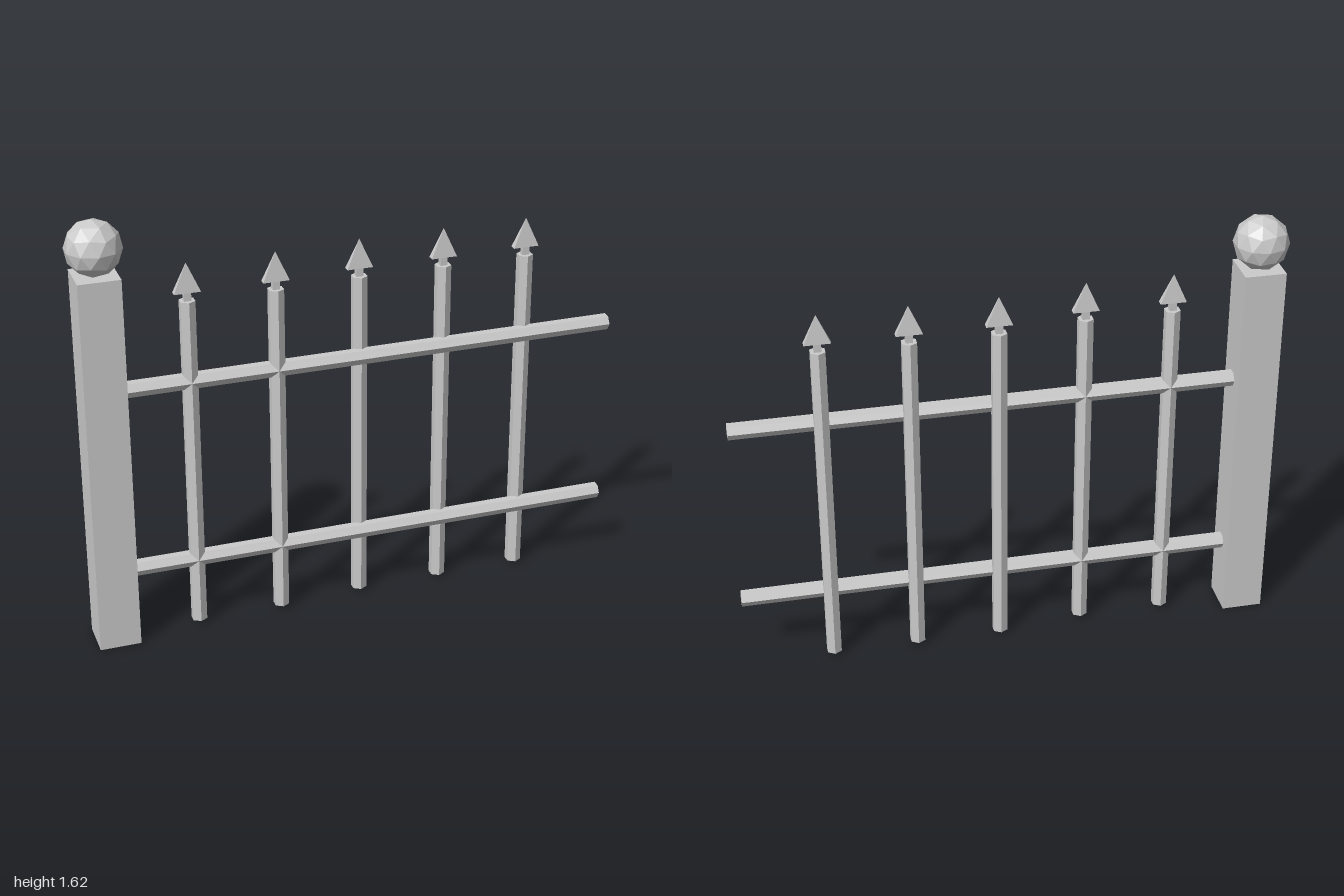
import * as THREE from 'three';

const material = new THREE.MeshStandardMaterial({ color: 0xcccccc, flatShading: true });

function addPart(parent, name, geometry, x, y, z) {
  const mesh = new THREE.Mesh(geometry, material);
  mesh.name = name;
  mesh.position.set(x, y, z);
  parent.add(mesh);
  return mesh;
}

export function createModel() {
  const fence = new THREE.Group();
  fence.name = 'fence';

  // Square post with a faceted ball on top
  const postX = -0.9, postHeight = 1.42, postWidth = 0.15;
  addPart(fence, 'post', new THREE.BoxGeometry(postWidth, postHeight, postWidth), postX, postHeight / 2, 0);
  const ball = new THREE.IcosahedronGeometry(0.1, 1);
  ball.rotateZ(-Math.atan(2 / (1 + Math.sqrt(5)))); // one corner points straight up
  addPart(fence, 'postBall', ball, postX, 1.515, 0);

  // Two hexagonal rails running out from the post
  const barRadius = 0.03, railStart = postX + postWidth / 2, railEnd = 1;
  const rail = new THREE.CylinderGeometry(barRadius, barRadius, railEnd - railStart, 6);
  rail.rotateZ(Math.PI / 2);
  addPart(fence, 'lowerRail', rail, (railStart + railEnd) / 2, 0.272, 0);
  addPart(fence, 'upperRail', rail, (railStart + railEnd) / 2, 0.981, 0);

  // Hexagonal picket, thin neck and flat four-sided spearhead
  const barHeight = 1.267, neckHeight = 0.03, headHeight = 0.108;
  const bar = new THREE.CylinderGeometry(barRadius, barRadius, barHeight, 6);
  const neck = new THREE.BoxGeometry(0.026, neckHeight + 0.01, 0.022);
  const head = new THREE.ConeGeometry(Math.SQRT1_2, headHeight, 4);
  head.rotateY(Math.PI / 4);
  head.scale(0.095, 1, 0.026);

  // The two pickets next to the post sit in line with the rails, the rest behind
  for (let i = 0; i < 5; i++) {
    const behind = i > 1;
    const picket = new THREE.Group();
    picket.name = 'picket' + (i + 1);
    picket.position.set(-0.588 + i * 0.3155, behind ? 0.012 : 0.017, behind ? -0.031 : 0);
    addPart(picket, 'bar', bar, 0, barHeight / 2, 0);
    addPart(picket, 'neck', neck, 0, barHeight + neckHeight / 2, 0);
    addPart(picket, 'spearhead', head, 0, barHeight + neckHeight + headHeight / 2, 0);
    fence.add(picket);
  }
  return fence;
}
